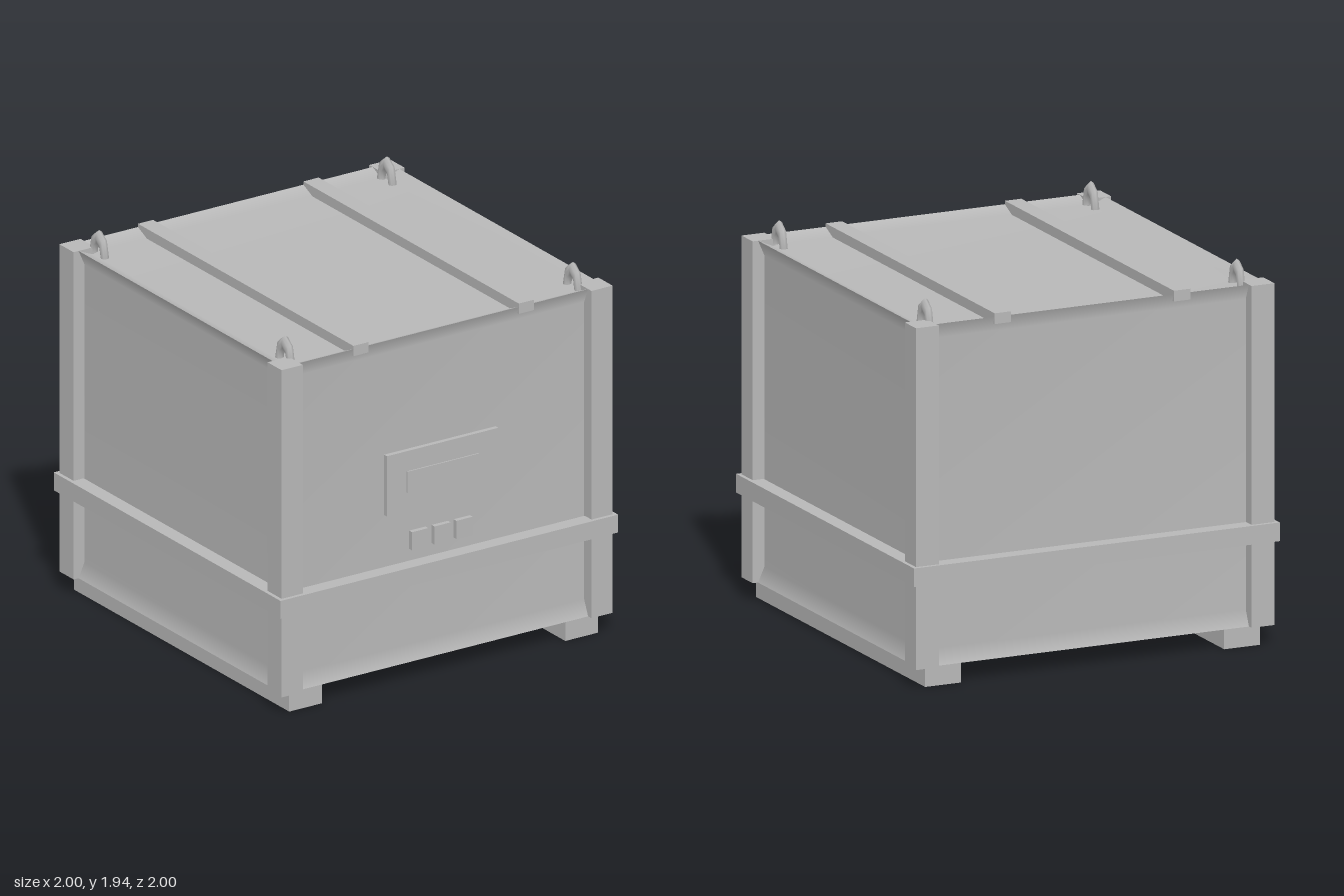
import * as THREE from 'three';

export function createModel() {
  const model = new THREE.Group();
  const grey = new THREE.MeshStandardMaterial({ color: 0xb8b8b8, side: THREE.DoubleSide });
  grey.name = 'grey metal';

  const add = (name, geometry, x = 0, y = 0, z = 0, parent = model) => {
    const mesh = new THREE.Mesh(geometry, grey);
    mesh.name = name;
    mesh.position.set(x, y, z);
    parent.add(mesh);
    return mesh;
  };
  // Box given by its lower and upper limits on each axis
  const slab = (name, [x0, x1], [y0, y1], [z0, z1]) =>
    add(name, new THREE.BoxGeometry(x1 - x0, y1 - y0, z1 - z0),
      (x0 + x1) / 2, (y0 + y1) / 2, (z0 + z1) / 2);

  // Sheet whose middle is pressed in behind a sloping border
  const pressedSheet = (w, h) => {
    const border = 0.08, depth = 0.035;
    const geo = new THREE.PlaneGeometry(w, h, 3, 3);
    const p = geo.attributes.position;
    for (let i = 0; i < p.count; i++) {
      const col = i % 4, row = Math.floor(i / 4);
      const innerCol = col === 1 || col === 2, innerRow = row === 1 || row === 2;
      if (innerCol) p.setX(i, Math.sign(p.getX(i)) * (w / 2 - border));
      if (innerRow) p.setY(i, Math.sign(p.getY(i)) * (h / 2 - border));
      if (innerCol && innerRow) p.setZ(i, -depth);
    }
    geo.computeVertexNormals();
    return geo;
  };

  // Hollow body: four walls and a roof, open underneath
  const body = new THREE.Group();
  body.name = 'body';
  model.add(body);
  for (let i = 0; i < 4; i++) {
    const a = i * Math.PI / 2;
    add('wall', pressedSheet(1.9, 1.74), Math.sin(a) * 0.95, 0.97, Math.cos(a) * 0.95, body).rotation.y = a;
  }
  add('roof', pressedSheet(1.9, 1.9), 0, 1.84, 0, body).rotation.x = -Math.PI / 2;

  // Corner posts and lifting eyes
  for (const sx of [-1, 1]) {
    for (const sz of [-1, 1]) {
      add('cornerPost', new THREE.BoxGeometry(0.125, 1.74, 0.125), sx * 0.9175, 0.9705, sz * 0.9175);
      const eye = add('liftingEye', new THREE.TorusGeometry(0.05, 0.02, 8, 4, Math.PI), sx * 0.852, 1.81, sz * 0.82);
      eye.rotation.y = Math.PI / 2;
      eye.scale.set(1, 1.88, 1.1);
    }
  }

  // Belt around the body
  const ring = new THREE.Shape();
  const square = (path, r) => path.moveTo(-r, -r).lineTo(r, -r).lineTo(r, r).lineTo(-r, r).closePath();
  square(ring, 1);
  const hole = new THREE.Path();
  square(hole, 0.92);
  ring.holes.push(hole);
  const belt = new THREE.ExtrudeGeometry(ring, { depth: 0.095, bevelEnabled: false });
  add('belt', belt, 0, 0.625, 0).rotation.x = Math.PI / 2;

  // Roof bars and hollow skids, which are open underneath
  for (const s of [-1, 1]) {
    add('roofBar', new THREE.BoxGeometry(0.09, 0.055, 1.9), s * 0.49, 1.83, 0);
    const skid = new THREE.BoxGeometry(0.195, 0.1, 1.9);
    const index = Array.from(skid.index.array);
    index.splice(18, 6);
    skid.setIndex(index);
    add('skid', skid, s * 0.8175, 0.05, 0);
  }

  // Control panel with display and three buttons
  slab('controlPanel', [-0.33, 0.33], [0.9, 1.22], [0.91, 0.94]);
  slab('display', [-0.213, 0.213], [1.0, 1.113], [0.939, 0.947]);
  for (const x of [-0.133, 0, 0.13]) {
    slab('button', [x - 0.048, x + 0.048], [0.685, 0.782], [0.91, 0.94]);
  }

  return model;
}
